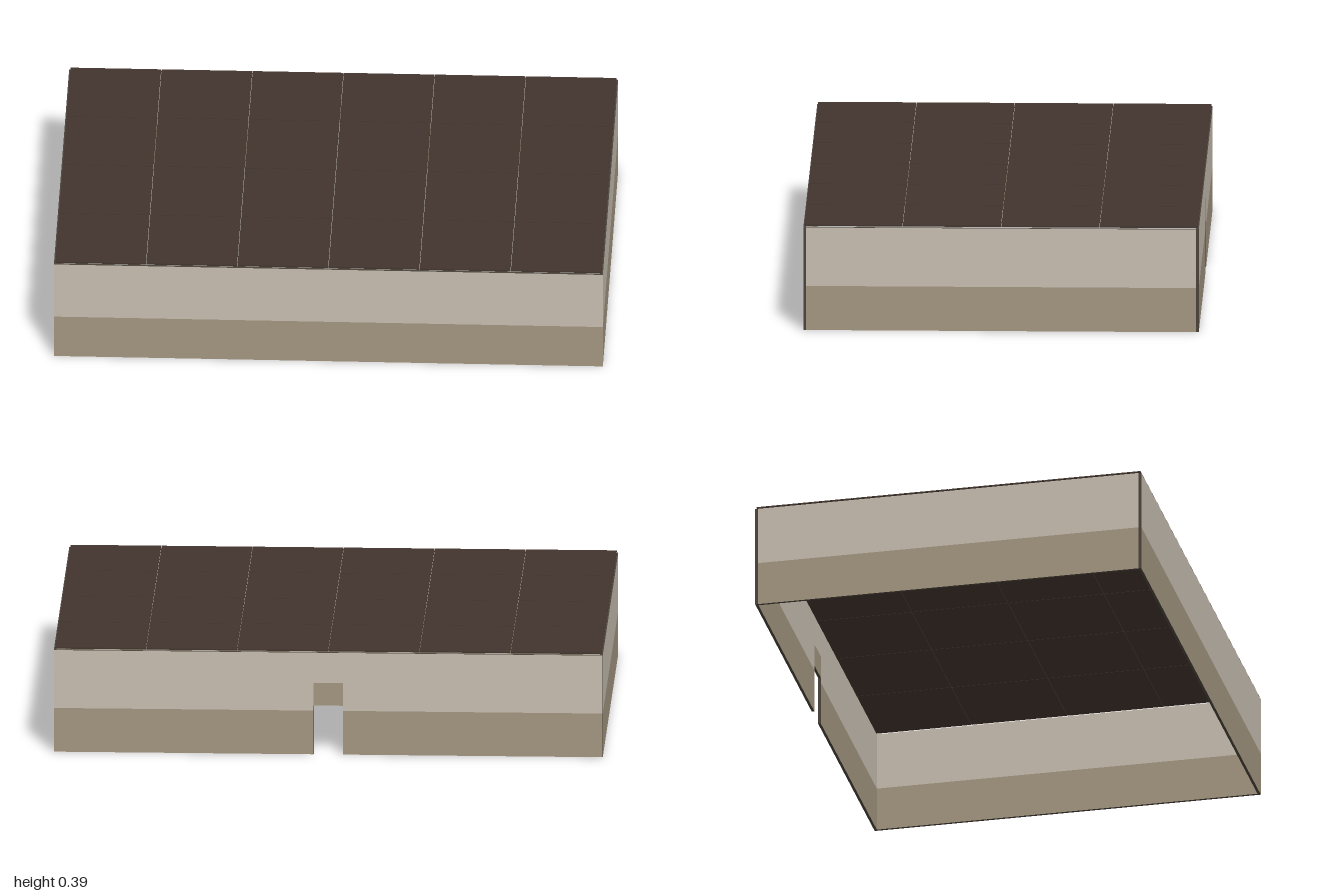
import * as THREE from 'three';

const W = 2, D = 1.44, T = 0.01;           // outer footprint and wall thickness
const WALL_TOP = 0.383, DADO = 0.43;       // wall height, share of it in the darker tone
const DOOR_W = 0.106, DOOR_H = 0.184;

const mat = (name, color) => new THREE.MeshStandardMaterial({ name, color });

export function createModel() {
  const upper = mat('pale plaster', 0xc6bdb0);
  const lower = mat('tan dado', 0xa39580);
  const edge = mat('dark wall edge', 0x4a4339);
  const tile = mat('dark brown roof', 0x42342d);

  const model = new THREE.Group();
  model.name = 'room';

  // Two-tone panel in the XY plane, with dark end caps and rims
  function panel(name, width, y0, y1) {
    const g = new THREE.Group();
    g.name = name;
    const split = y0 + (y1 - y0) * DADO;
    for (const [part, a, b, m] of [['Dado', y0, split, lower], ['Upper', split, y1, upper]]) {
      const mesh = new THREE.Mesh(
        new THREE.BoxGeometry(width, b - a, T),
        [edge, edge, edge, edge, m, m]
      );
      mesh.name = name + part;
      mesh.position.y = (a + b) / 2;
      g.add(mesh);
    }
    model.add(g);
    return g;
  }

  const zWall = D / 2 - T / 2;

  // Front wall: two halves meeting in the middle
  for (const s of [-1, 1]) {
    panel(s > 0 ? 'frontWallLeft' : 'frontWallRight', W / 2, 0, WALL_TOP)
      .position.set(s * W / 4, 0, zWall);
  }

  // Back wall: a panel each side of the doorway and a header above it
  const sideW = (W - DOOR_W) / 2;
  for (const s of [-1, 1]) {
    panel(s > 0 ? 'backWallLeft' : 'backWallRight', sideW, 0, WALL_TOP)
      .position.set(s * (DOOR_W + sideW) / 2, 0, -zWall);
  }
  panel('doorHeader', DOOR_W, DOOR_H, WALL_TOP).position.z = -zWall;

  // Side walls between front and back
  for (const s of [-1, 1]) {
    const wall = panel(s > 0 ? 'leftWall' : 'rightWall', D - 2 * T, 0, WALL_TOP);
    wall.rotation.y = Math.PI / 2;
    wall.position.x = s * (W / 2 - T / 2);
  }

  // Roof: thin tiles with hairline joints, floating just above the walls
  const roof = new THREE.Group();
  roof.name = 'roof';
  const cols = 6, rows = 4, gap = 0.002;
  const px = 1.992 / cols, pz = 1.434 / rows;
  const tileGeo = new THREE.BoxGeometry(px - gap, 0.005, pz - gap);
  for (let i = 0; i < cols; i++) {
    for (let j = 0; j < rows; j++) {
      const t = new THREE.Mesh(tileGeo, tile);
      t.name = 'roofTile';
      t.position.set((i - (cols - 1) / 2) * px, 0.39, (j - (rows - 1) / 2) * pz);
      roof.add(t);
    }
  }
  model.add(roof);
  return model;
}
